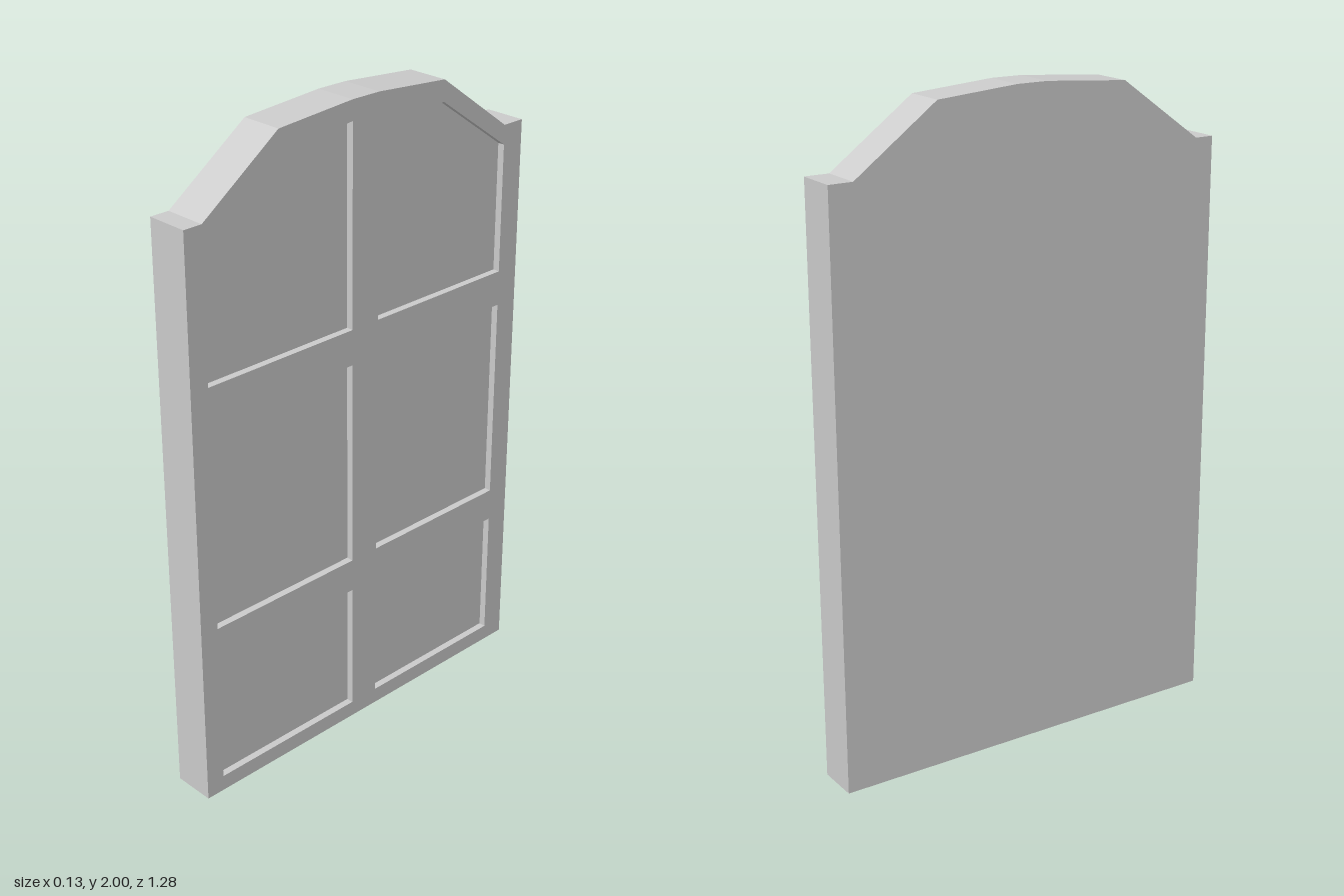
import * as THREE from 'three';

const HALF = 0.066;    // half the door thickness
const RECESS = 0.022;  // depth of the sunken panels

// Points are [-z, y], as seen when looking at the panelled (+x) side
const toPath = (points, Type) => new Type(points.map(([u, y]) => new THREE.Vector2(u, y)));

const outline = [
  [-0.64, 0], [0.64, 0], [0.64, 1.79], [0.565, 1.79], [0.305, 1.98], [0.05, 2],
  [-0.05, 2], [-0.315, 1.98], [-0.58, 1.79], [-0.64, 1.79],
];

const rect = (u0, u1, y0, y1) => [[u0, y0], [u1, y0], [u1, y1], [u0, y1]];

export function createModel() {
  const group = new THREE.Group();
  group.name = 'archedDoor';
  const material = new THREE.MeshStandardMaterial({ color: 0xcccccc, flatShading: true });

  // Extrudes a door-shaped layer between two x positions
  function addLayer(name, shape, x0, x1) {
    const geometry = new THREE.ExtrudeGeometry(shape, { depth: x1 - x0, bevelEnabled: false });
    geometry.rotateY(Math.PI / 2);
    geometry.translate(x0, 0, 0);
    const mesh = new THREE.Mesh(geometry, material);
    mesh.name = name;
    group.add(mesh);
  }

  // Solid slab: plain back, its front forms the panel floors
  addLayer('doorSlab', toPath(outline, THREE.Shape), -HALF, HALF - RECESS);

  // Frame of stiles and rails with six openings
  const frame = toPath(outline, THREE.Shape);
  const columns = [
    { inner: -0.05, shoulder: -0.315, outer: -0.58 },
    { inner: 0.05, shoulder: 0.305, outer: 0.565 },
  ];
  for (const { inner, shoulder, outer } of columns) {
    const openings = [
      rect(inner, outer, 0.05, 0.465),
      rect(inner, outer, 0.57, 1.22),
      // top opening follows the arch
      [[inner, 1.33], [outer, 1.33], [outer, 1.73], [shoulder, 1.915], [inner, 1.94]],
    ];
    for (const points of openings) frame.holes.push(toPath(points, THREE.Path));
  }
  addLayer('panelFrame', frame, HALF - RECESS, HALF);

  return group;
}
